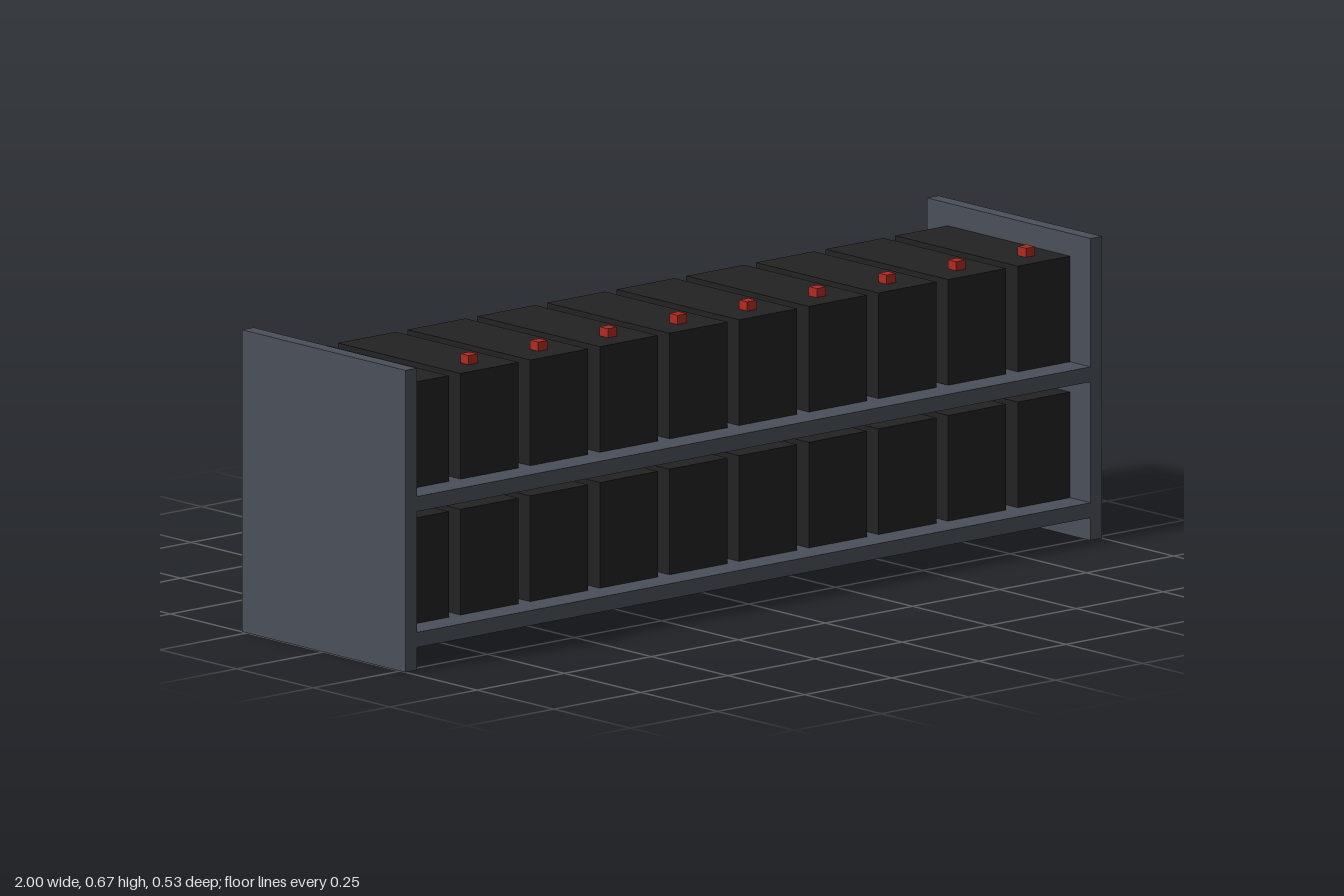
import * as THREE from 'three';

export function createModel() {
  const model = new THREE.Group();
  model.name = 'batteryRack';

  const material = (name, color) => {
    const m = new THREE.MeshStandardMaterial({ color });
    m.name = name;
    return m;
  };
  const steel = material('slateSteel', 0x4a4f59);
  const casing = material('blackCasing', 0x222222);
  const red = material('redTerminal', 0xb02a20);

  // Box resting with its underside at y
  const addBox = (parent, name, mat, [w, h, d], [x, y, z]) => {
    const mesh = new THREE.Mesh(new THREE.BoxGeometry(w, h, d), mat);
    mesh.position.set(x, y + h / 2, z);
    mesh.name = name;
    parent.add(mesh);
  };

  const thick = 0.0333, depth = 0.533;

  // End panels
  for (const [side, name] of [[1, 'leftEndPanel'], [-1, 'rightEndPanel']]) {
    addBox(model, name, steel, [thick, 0.6667, depth], [side * (1 - thick / 2), 0, 0]);
  }

  // Two shelves, each carrying a row of ten batteries
  for (const [tier, y] of [['lower', 0.05], ['upper', 0.35]]) {
    addBox(model, `${tier}Shelf`, steel, [2 - 2 * thick, thick, depth], [0, y, 0]);
    for (let i = 0; i < 10; i++) {
      const battery = new THREE.Group();
      battery.name = `${tier}Battery${i + 1}`;
      battery.position.set(-0.9 + i * 0.2, y + thick, 0);
      addBox(battery, 'batteryCase', casing, [0.1667, 0.2333, 0.4], [0, 0, 0]);
      // Terminal is partly sunk into the case
      addBox(battery, 'terminal', red, [0.0267, 0.0267, 0.0267], [0, 0.2267, 0.1333]);
      model.add(battery);
    }
  }
  return model;
}
